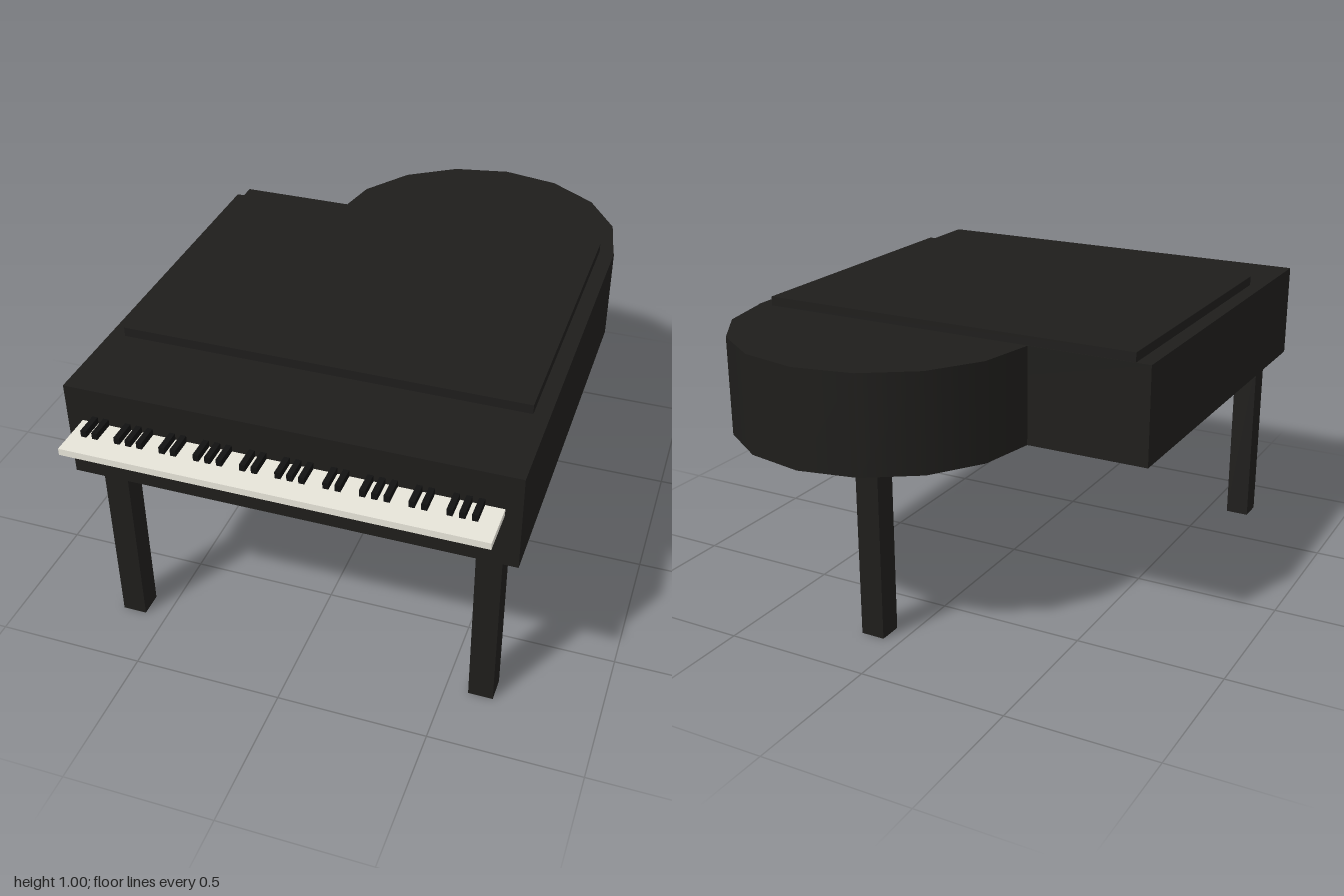
import * as THREE from 'three';

export function createModel() {
  const model = new THREE.Group();
  model.name = 'grandPiano';
  const lacquer = new THREE.MeshStandardMaterial({ color: 0x1e1d1b });
  const ivory = new THREE.MeshStandardMaterial({ color: 0xe6e3d8 });
  const ebony = new THREE.MeshStandardMaterial({ color: 0x111111 });

  // Box given by its extents along each axis
  function addBox(name, material, [x0, x1], [y0, y1], [z0, z1], parent = model) {
    const mesh = new THREE.Mesh(new THREE.BoxGeometry(x1 - x0, y1 - y0, z1 - z0), material);
    mesh.position.set((x0 + x1) / 2, (y0 + y1) / 2, (z0 + z1) / 2);
    mesh.name = name;
    parent.add(mesh);
    return mesh;
  }

  const bottom = 0.64, top = 0.966, back = -0.488, front = 0.847;

  // Case and rounded tail, offset towards the left side
  addBox('case', lacquer, [-0.718, 0.718], [bottom, top], [back, front]);
  const tail = new THREE.Mesh(
    new THREE.CylinderGeometry(0.512, 0.512, top - bottom, 8, 1, false, Math.PI / 2, Math.PI),
    lacquer
  );
  tail.position.set(0.204, (bottom + top) / 2, back);
  tail.name = 'tail';
  model.add(tail);

  // Lid
  addBox('lid', lacquer, [-0.667, 0.667], [top, 0.997], [-0.486, 0.538]);

  // Three square legs
  const legs = [['rightFrontLeg', -0.617, 0.745], ['leftFrontLeg', 0.617, 0.745], ['backLeg', 0.101, -0.745]];
  for (const [name, x, z] of legs) {
    addBox(name, lacquer, [x - 0.041, x + 0.041], [0, bottom], [z - 0.041, z + 0.041]);
  }

  // Keyboard: white slab with black keys in groups of two and three
  const keyboard = new THREE.Group();
  keyboard.name = 'keyboard';
  model.add(keyboard);
  addBox('whiteKeys', ivory, [-0.667, 0.667], [0.825, 0.848], [0.8, 1], keyboard);
  const step = 0.037;
  for (let octave = 0; octave < 5; octave++) {
    for (const slot of [0, 1, 3, 4, 5]) {
      const x = -0.622 + (octave * 7 + slot) * step;
      addBox('blackKey', ebony, [x - 0.009, x + 0.009], [0.848, 0.87], [0.82, 0.924], keyboard);
    }
  }

  return model;
}
